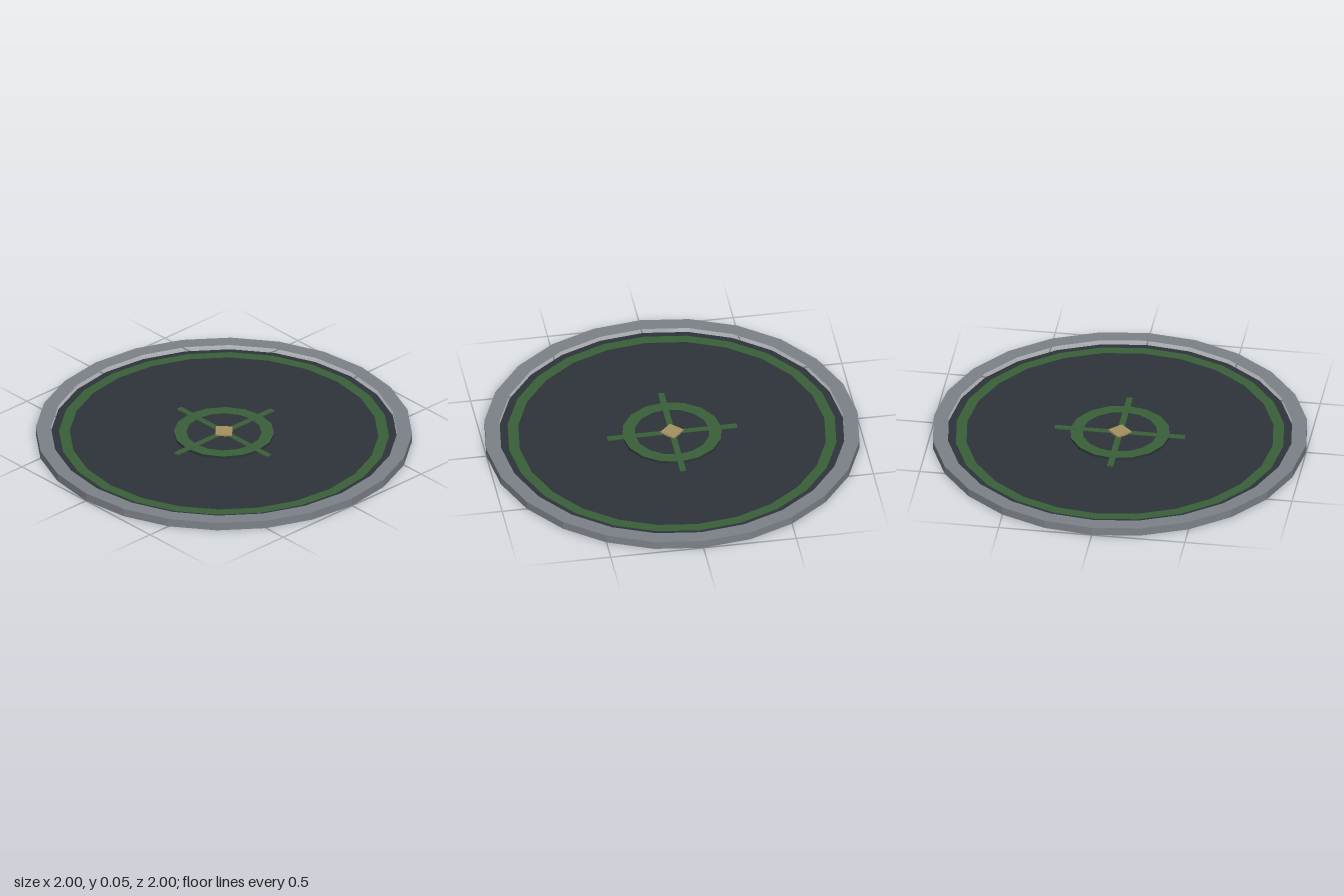
import * as THREE from 'three';

const mat = (name, color) => {
  const m = new THREE.MeshStandardMaterial({ color, side: THREE.DoubleSide, flatShading: true });
  m.name = name;
  return m;
};

export function createModel() {
  const grey = mat('rim grey', 0x7d828a);
  const slate = mat('dark slate', 0x2d343a);
  const green = mat('marking green', 0x3b6039);
  const gold = mat('centre gold', 0xa59260);

  const group = new THREE.Group();
  group.name = 'landingPad';
  const add = (name, geometry, material, y = 0) => {
    const mesh = new THREE.Mesh(geometry, material);
    mesh.name = name;
    mesh.position.y = y;
    group.add(mesh);
    return mesh;
  };
  const flatRing = (inner, outer, sides) =>
    new THREE.RingGeometry(inner, outer, sides).rotateX(-Math.PI / 2);

  // Open rim: a flat collar and an outer skirt
  const H = 0.045;
  add('rimTop', flatRing(0.92, 1, 24), grey, H);
  add('rimWall', new THREE.CylinderGeometry(1, 1, H, 24, 1, true), grey, H / 2);

  // Sunken floor, with a gap below the rim
  add('floor', new THREE.CircleGeometry(0.92, 24).rotateX(-Math.PI / 2), slate, 0.019);
  add('outerMarking', flatRing(0.82, 0.877, 24), green, 0.026);

  // Low raised hub carrying the ring marking
  add('hub', new THREE.CylinderGeometry(0.265, 0.265, 0.015, 16), slate, 0.0265);
  add('hubRing', flatRing(0.2, 0.267, 16), green, 0.036);

  // Crossed bars
  for (const [name, w, d] of [['crossBarX', 0.7, 0.033], ['crossBarZ', 0.033, 0.7]]) {
    add(name, new THREE.BoxGeometry(w, 0.006, d), green, 0.0345);
  }

  // Square stud turned to a diamond
  add('centreStud', new THREE.CylinderGeometry(0.063, 0.063, 0.012, 4), gold, 0.039);

  return group;
}
